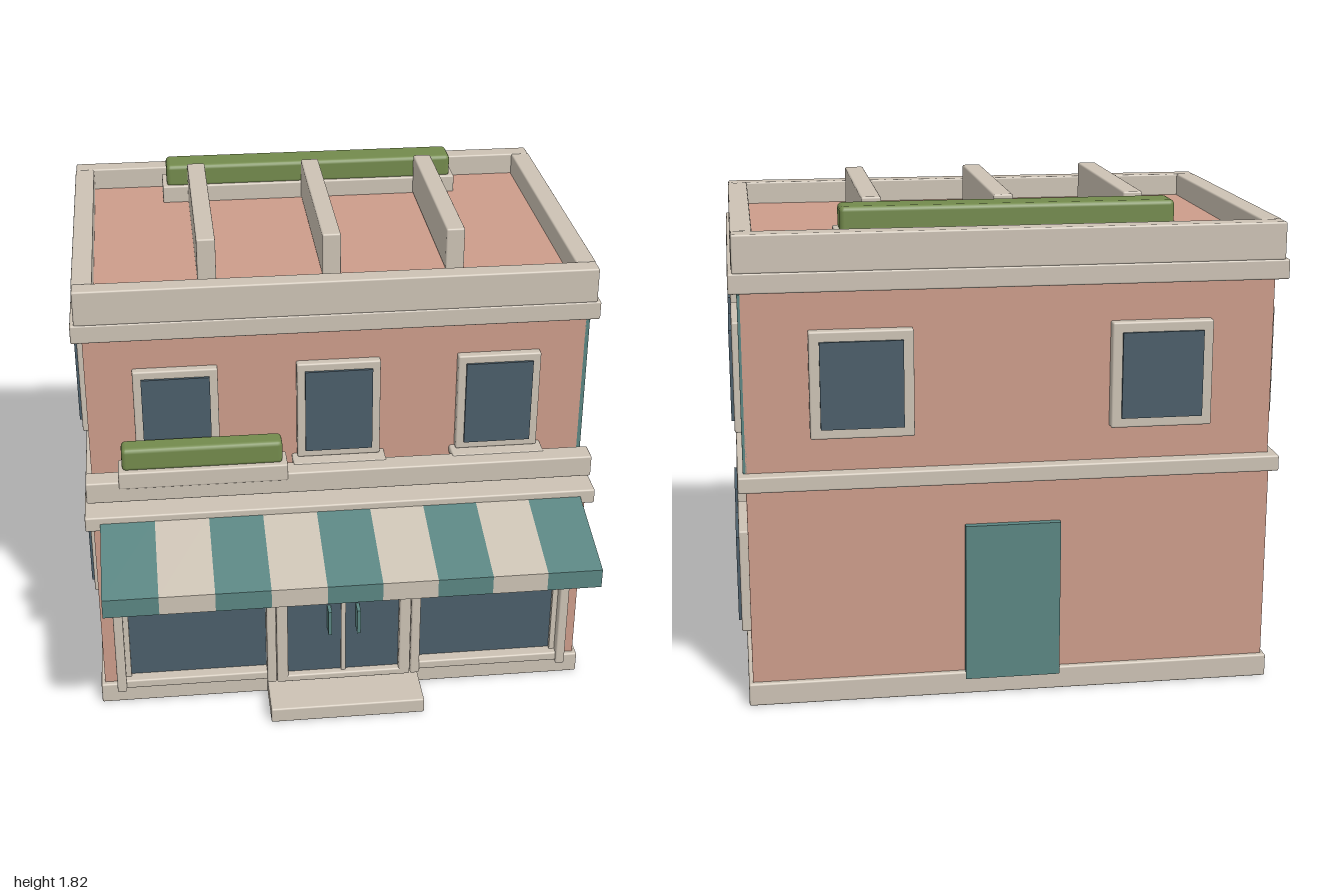
import * as THREE from 'three';
import { RoundedBoxGeometry } from 'three/addons/geometries/RoundedBoxGeometry.js';

const mat = (name, color) => {
  const m = new THREE.MeshStandardMaterial({ color });
  m.name = name;
  return m;
};

export function createModel() {
  const wall = mat('terracotta wall', 0xcc9c8a);
  const teal = mat('teal paint', 0x5a8582);
  const stone = mat('cream stone', 0xccc2b4);
  const glass = mat('dark glass', 0x4a5d69);
  const leaf = mat('hedge green', 0x738a4c);

  const model = new THREE.Group();
  model.name = 'cornerShop';

  // Box given by its min and max on each axis; a radius softens the edges
  const box = (name, material, [x0, x1], [y0, y1], [z0, z1], radius = 0, parent = model) => {
    const size = [x1 - x0, y1 - y0, z1 - z0];
    const geometry = radius
      ? new RoundedBoxGeometry(...size, 2, radius)
      : new THREE.BoxGeometry(...size);
    const mesh = new THREE.Mesh(geometry, material);
    mesh.name = name;
    mesh.position.set((x0 + x1) / 2, (y0 + y1) / 2, (z0 + z1) / 2);
    parent.add(mesh);
    return mesh;
  };
  const R = 0.007;

  // Storeys, plinth and bands
  box('plinth', stone, [-0.97, 0.97], [0, 0.085], [-0.94, 0.56], R);
  box('groundFloor', wall, [-0.955, 0.955], [0.05, 0.85], [-0.92, 0.54]);
  box('middleBand', stone, [-0.985, 0.985], [0.815, 0.875], [-0.95, 0.575], R);
  box('upperFloor', wall, [-0.955, 0.955], [0.85, 1.56], [-0.9, 0.38]);
  box('sidePanel', teal, [0.95, 0.965], [0.875, 1.52], [-0.9, 0.38]);
  box('doorStep', stone, [-0.305, 0.305], [0, 0.063], [0.555, 0.765], R);
  box('frontLedge', stone, [-0.975, 0.975], [0.91, 0.997], [0.44, 0.527], R);

  // Cornice, parapet and roof deck
  box('cornice', stone, [-0.995, 0.995], [1.53, 1.603], [-0.945, 0.417], R);
  box('roofDeck', wall, [-0.92, 0.92], [1.59, 1.65], [-0.88, 0.35]);
  box('frontParapet', stone, [-0.98, 0.98], [1.6, 1.737], [0.338, 0.415], R);
  box('backParapet', stone, [-0.98, 0.98], [1.6, 1.737], [-0.942, -0.863], R);
  for (const s of [-1, 1]) {
    const xs = [s * 0.905, s * 0.982].sort((a, b) => a - b);
    box('sideParapet', stone, xs, [1.6, 1.737], [-0.865, 0.34], R);
  }

  // Roof beams and roof hedge
  for (const x of [-0.477, 0, 0.477]) {
    box('roofBeam', stone, [x - 0.036, x + 0.036], [1.65, 1.817], [-0.675, 0.16], R);
  }
  box('roofPlanter', stone, [-0.618, 0.618], [1.645, 1.72], [-0.83, -0.67], R);
  box('roofHedge', leaf, [-0.6, 0.6], [1.71, 1.805], [-0.817, -0.683], 0.018);

  // Framed window facing outward along its local z
  const addWindow = (x, y, z, turn, width, height, rim) => {
    const group = new THREE.Group();
    group.name = 'window';
    const w = width / 2, h = height / 2;
    box('windowFrame', stone, [-w, w], [-h, h], [-0.01, 0.033], R, group);
    box('windowPane', glass, [rim - w, w - rim], [rim - h, h - rim], [0.02, 0.043], 0, group);
    group.position.set(x, y, z);
    group.rotation.y = turn;
    model.add(group);
  };

  // Front upper windows with sills
  for (const x of [-0.618, 0, 0.618]) {
    addWindow(x, 1.2, 0.38, 0, 0.32, 0.4, 0.031);
    box('windowSill', stone, [x - 0.18, x + 0.18], [0.967, 1.0], [0.37, 0.465], R);
  }
  // Side windows on both floors
  for (const s of [-1, 1]) {
    for (const z of [-0.064, -0.635]) {
      addWindow(s * 0.955, 1.203, z, s * Math.PI / 2, 0.355, 0.405, 0.036);
      addWindow(s * 0.955, 0.435, z, s * Math.PI / 2, 0.355, 0.39, 0.034);
    }
    // Back upper windows
    addWindow(s * 0.54, 1.195, -0.905, Math.PI, 0.37, 0.39, 0.037);
  }
  box('backDoor', teal, [-0.175, 0.175], [0.06, 0.655], [-0.947, -0.91]);

  // Window box on the ledge
  box('windowPlanter', stone, [-0.85, -0.207], [0.967, 1.037], [0.42, 0.53], R);
  box('windowHedge', leaf, [-0.835, -0.225], [1.03, 1.125], [0.425, 0.51], 0.018);

  // Shop windows
  for (const s of [-1, 1]) {
    const span = (a, b) => (s > 0 ? [a, b] : [-b, -a]);
    box('shopPane', glass, span(0.29, 0.885), [0.1, 0.75], [0.53, 0.557]);
    box('outerPost', stone, span(0.868, 0.905), [0.08, 0.755], [0.535, 0.612], R);
    box('innerPost', stone, span(0.27, 0.307), [0.08, 0.755], [0.535, 0.612], R);
    box('shopSill', stone, span(0.3, 0.875), [0.093, 0.13], [0.535, 0.605], R);
    box('shopHead', stone, span(0.3, 0.875), [0.718, 0.755], [0.535, 0.605], R);
    box('paneTrim', stone, span(0.847, 0.87), [0.125, 0.72], [0.535, 0.575]);

    // Entrance leaf, jamb and handle
    box('doorPane', glass, span(0.008, 0.227), [0.1, 0.74], [0.53, 0.58]);
    box('doorJamb', stone, span(0.223, 0.268), [0.077, 0.755], [0.535, 0.61], R);
    box('doorHandle', teal, span(0.05, 0.064), [0.31, 0.417], [0.575, 0.634]);
  }
  box('doorMullion', stone, [-0.009, 0.009], [0.1, 0.74], [0.535, 0.592]);
  box('doorSill', stone, [-0.265, 0.265], [0.077, 0.107], [0.535, 0.61], R);
  box('doorHead', stone, [-0.265, 0.265], [0.715, 0.755], [0.535, 0.61], R);

  // Striped awning: one side profile (z, y) extruded for each stripe
  const profile = new THREE.Shape(
    [[0.565, 0.85], [0.955, 0.755], [0.955, 0.68], [0.925, 0.68], [0.925, 0.73], [0.565, 0.815]]
      .map(([z, y]) => new THREE.Vector2(-z, y)));
  const stripes = 9, stripeWidth = 1.856 / stripes;
  const stripeGeometry = new THREE.ExtrudeGeometry(profile, { depth: stripeWidth, bevelEnabled: false });
  stripeGeometry.rotateY(Math.PI / 2);
  for (let i = 0; i < stripes; i++) {
    const stripe = new THREE.Mesh(stripeGeometry, i % 2 ? stone : teal);
    stripe.name = 'awningStripe';
    stripe.position.x = -0.928 + i * stripeWidth;
    model.add(stripe);
  }

  return model;
}
